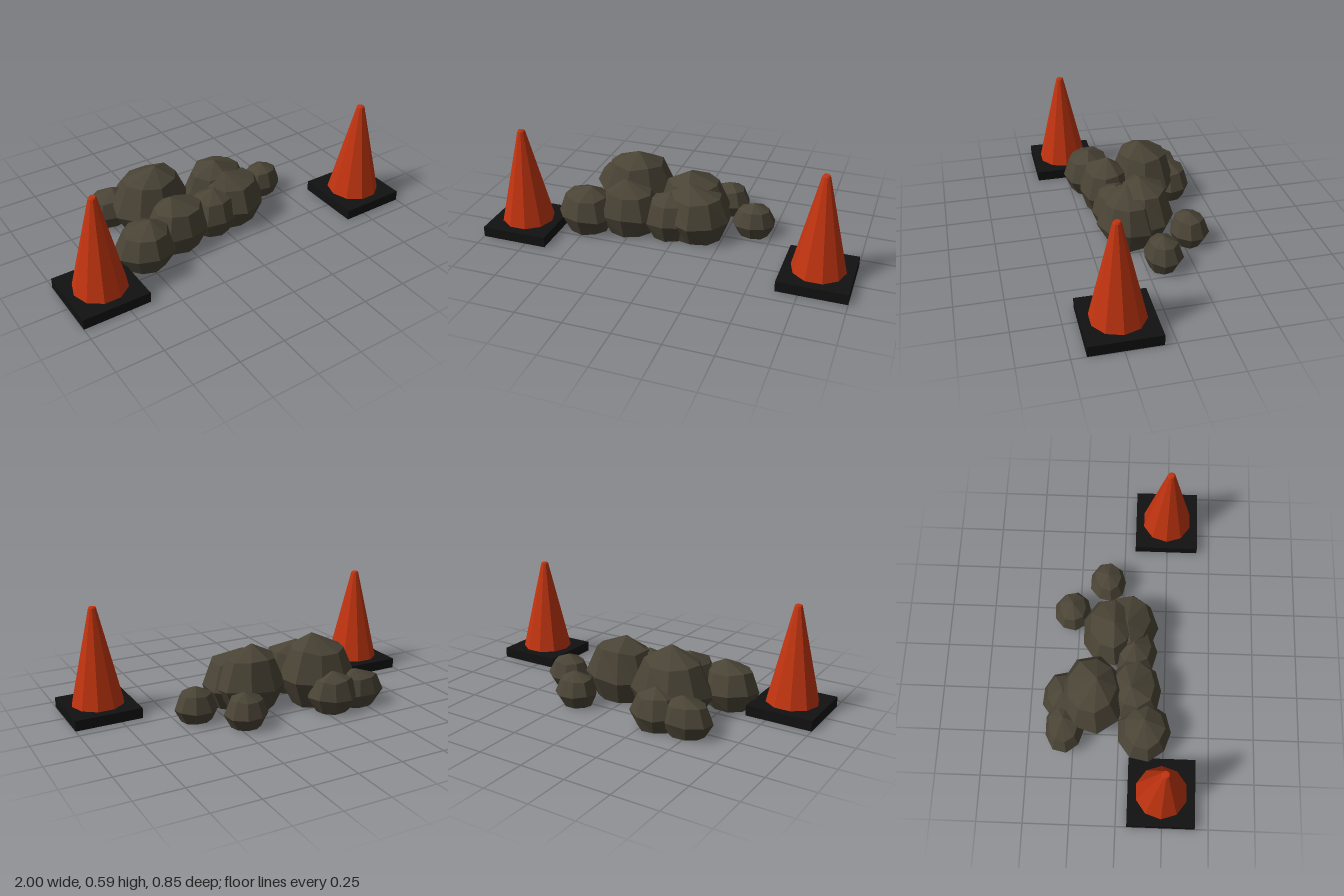
import * as THREE from 'three';

const mat = (name, color) => {
  const m = new THREE.MeshStandardMaterial({ color, flatShading: true });
  m.name = name;
  return m;
};

// Small repeatable noise in the range -1..1
const noise = (a, b, c) => {
  const s = Math.sin(a * 12.99 + b * 78.23 + c * 37.72) * 43758.55;
  return (s - Math.floor(s)) * 2 - 1;
};

// Faceted boulder: flat foot, wide belly, shoulder and off-centre peak
function makeRock(seed, rx, rz, height, peakX = 0, peakZ = 0) {
  const sides = 9;
  const profile = [[0, 0], [0.68, 0], [1, 0.38], [0.72, 0.8], [0, 1]];
  const geo = new THREE.LatheGeometry(profile.map(([r, y]) => new THREE.Vector2(r, y)), sides);
  const pos = geo.attributes.position;
  for (let i = 0; i < pos.count; i++) {
    const row = i % profile.length;
    const seg = Math.floor(i / profile.length) % sides;
    const k = 1 + 0.05 * noise(seed, seg, row);
    const lift = row === 2 || row === 3 ? 0.03 * noise(seed, row, seg + 20) : 0;
    const top = row === 4 ? 1 : 0;
    pos.setXYZ(i, pos.getX(i) * rx * k + top * peakX,
      (pos.getY(i) + lift) * height, pos.getZ(i) * rz * k + top * peakZ);
  }
  geo.computeVertexNormals();
  return geo;
}

export function createModel() {
  const model = new THREE.Group();
  const rock = mat('rock', 0x4a4436);
  const orange = mat('coneOrange', 0xc23410);
  const black = mat('baseBlack', 0x111111);

  // Rubble: name, x, z, radius x, radius z, height, peak offset x, z
  const rocks = [
    ['largeBackRock', -0.31, -0.15, 0.215, 0.185, 0.385, 0.02, 0.03],
    ['largeRightRock', 0.06, -0.06, 0.2, 0.16, 0.35, -0.02, 0.02],
    ['frontRightRock', 0.1, 0.03, 0.2, 0.17, 0.31, -0.04, 0],
    ['frontCentreRock', -0.04, 0.07, 0.15, 0.13, 0.26, 0, 0],
    ['frontMiddleRock', -0.27, 0.08, 0.18, 0.155, 0.295, -0.03, -0.02],
    ['frontLeftRock', -0.5, 0.14, 0.165, 0.15, 0.26, 0.03, 0],
    ['backLeftRock', -0.48, -0.3, 0.15, 0.11, 0.205, 0.02, 0],
    ['backRock', -0.31, -0.31, 0.14, 0.12, 0.22, 0, 0],
    ['smallBackRock', 0.2, -0.285, 0.118, 0.106, 0.19, 0.01, 0],
    ['smallRightRock', 0.395, -0.09, 0.122, 0.104, 0.188, 0, 0],
  ];
  const rubble = new THREE.Group();
  rubble.name = 'rubble';
  rocks.forEach(([name, x, z, ...size], i) => {
    const mesh = new THREE.Mesh(makeRock(i + 1, ...size), rock);
    mesh.name = name;
    mesh.position.set(x, 0, z);
    rubble.add(mesh);
  });
  model.add(rubble);

  // Traffic cones: square base and ten-sided cone with a bevelled tip
  const baseGeo = new THREE.BoxGeometry(0.365, 0.057, 0.365);
  const coneProfile = [[0, 0.057], [0.143, 0.06], [0.021, 0.582], [0.016, 0.589], [0, 0.589]];
  const coneGeo = new THREE.LatheGeometry(coneProfile.map(([r, y]) => new THREE.Vector2(r, y)), 10);
  coneGeo.rotateY(Math.PI / 2);
  for (const side of [-1, 1]) {
    const cone = new THREE.Group();
    cone.name = side > 0 ? 'leftCone' : 'rightCone';
    const base = new THREE.Mesh(baseGeo, black);
    base.name = 'coneBase';
    base.position.y = 0.0285;
    const body = new THREE.Mesh(coneGeo, orange);
    body.name = 'coneBody';
    cone.add(base, body);
    cone.position.set(side * 0.8175, 0, 0.2425);
    model.add(cone);
  }
  return model;
}
